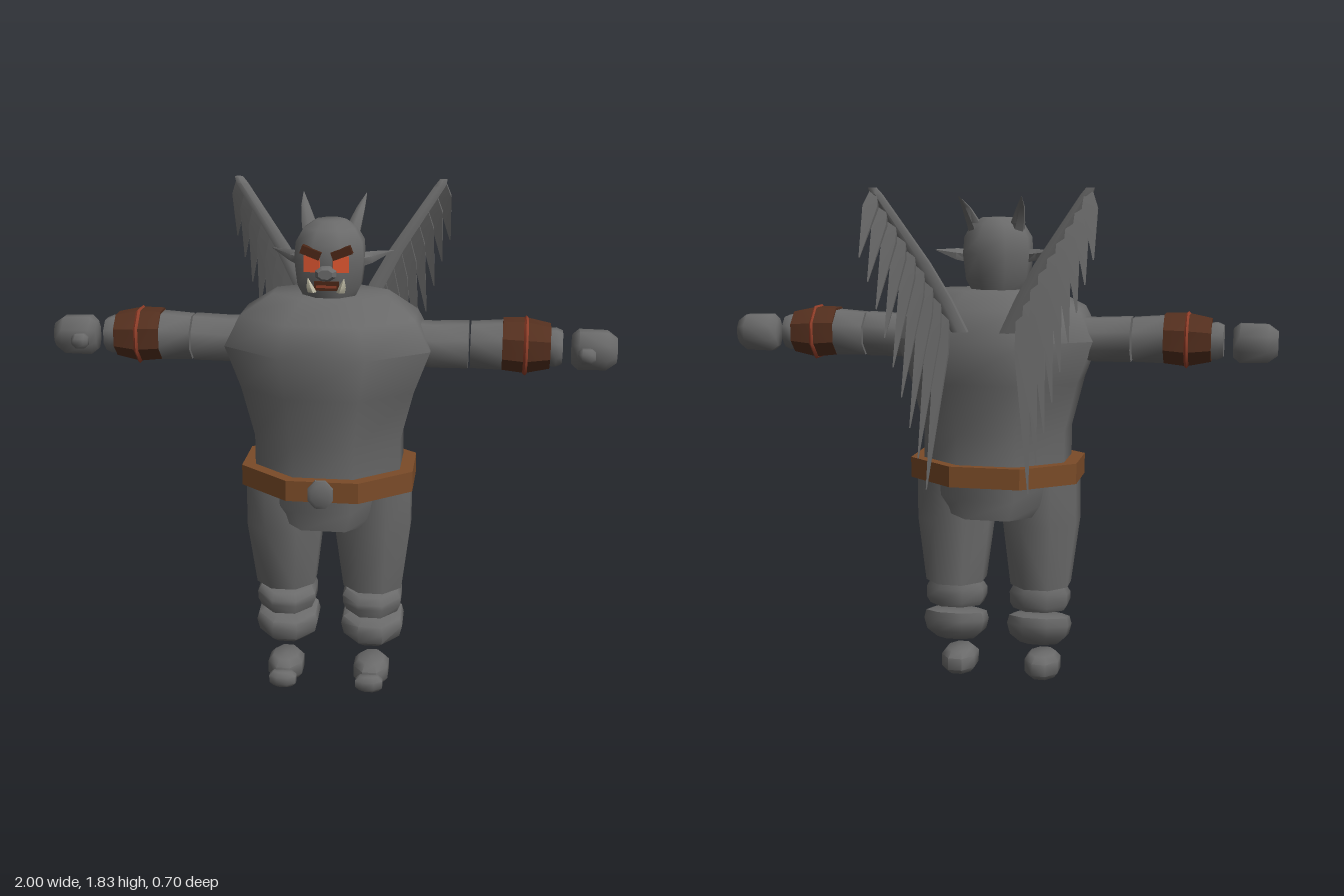
import * as THREE from 'three';
import { toCreasedNormals } from 'three/addons/utils/BufferGeometryUtils.js';

const paint = (name, color, extra = {}) => new THREE.MeshStandardMaterial({ name, color, ...extra });

// Closed loft through rings [y, halfX, halfZ, centreX, centreZ, tilt]
function loft(rings, sides = 8) {
  const pos = [], idx = [], grow = 1 / Math.cos(Math.PI / sides);
  for (const [y, rx, rz, cx = 0, cz = 0, tilt = 0] of rings) {
    for (let j = 0; j < sides; j++) {
      const a = ((j + 0.5) / sides) * Math.PI * 2;
      const z = Math.sin(a) * rz * grow;
      pos.push(cx + Math.cos(a) * rx * grow, y - z * tilt, cz + z);
    }
  }
  const n = rings.length, base = n * sides;
  for (const [y, , , cx = 0, cz = 0] of [rings[0], rings[n - 1]]) pos.push(cx, y, cz);
  for (let j = 0; j < sides; j++) {
    const k = (j + 1) % sides, top = (n - 1) * sides;
    for (let i = 0; i < n - 1; i++) {
      const A = i * sides + j, B = i * sides + k;
      idx.push(A, A + sides, B, B, A + sides, B + sides);
    }
    idx.push(base, j, k, base + 1, top + k, top + j);
  }
  const g = new THREE.BufferGeometry();
  g.setAttribute('position', new THREE.Float32BufferAttribute(pos, 3));
  g.setIndex(idx);
  return g;
}

// Loft running along +x; ring = [x, halfY, halfZ, centreY, centreZ]
const loftX = (rings, sides) =>
  loft(rings.map(([t, ry, rz, cy, cz]) => [t, ry, rz, -cy, cz]), sides).rotateZ(-Math.PI / 2);

// Mirror a geometry across x = 0, keeping faces outward
function mirrored(geo) {
  const g = (geo.index ? geo.toNonIndexed() : geo.clone()).scale(-1, 1, 1);
  const p = g.attributes.position, b = new THREE.Vector3(), c = new THREE.Vector3();
  for (let i = 0; i < p.count; i += 3) {
    b.fromBufferAttribute(p, i + 1);
    c.fromBufferAttribute(p, i + 2);
    p.setXYZ(i + 1, c.x, c.y, c.z);
    p.setXYZ(i + 2, b.x, b.y, b.z);
  }
  return g;
}

// Tapered flat blade from a to b, widest near its root
function blade(a, b, width, thick) {
  const d = b.clone().sub(a), L = d.length();
  const g = loft([[0, width * 0.5, thick * 0.6], [L * 0.25, width, thick], [L, 0.002, 0.001]], 4);
  g.rotateX(Math.PI);
  g.applyQuaternion(new THREE.Quaternion().setFromUnitVectors(new THREE.Vector3(0, -1, 0), d.normalize()));
  return g.translate(a.x, a.y, a.z);
}

export function createModel() {
  const model = new THREE.Group();
  model.name = 'wingedGargoyle';
  const stone = paint('stoneGrey', 0x6a6a6a);
  const leather = paint('beltBrown', 0x7a4b28);
  const bracerMat = paint('bracerBrown', 0x55301f);
  const cord = paint('cordRed', 0x8f3d28);
  const eyeMat = paint('eyeOrange', 0xdc5530);
  const browMat = paint('browBrown', 0x4a2616);
  const ivory = paint('tuskIvory', 0xc9c5ae);

  const add = (name, geo, mat, crease = 1) => {
    geo.deleteAttribute('uv');
    const mesh = new THREE.Mesh(toCreasedNormals(geo, crease), mat);
    mesh.name = name;
    model.add(mesh);
  };
  const pair = (name, geo, mat, crease) => {
    add(name + 'Right', mirrored(geo), mat, crease);
    add(name + 'Left', geo, mat, crease);
  };

  // Torso and pelvis
  add('torso', loft([
    [0.8, 0.26, 0.215, 0, 0.045], [0.97, 0.26, 0.215, 0, 0.05], [1.15, 0.305, 0.24, 0, 0.05],
    [1.3, 0.36, 0.26, 0, 0.05], [1.41, 0.305, 0.22, 0, 0.065], [1.475, 0.2, 0.135, 0, 0.025],
  ]), stone);
  add('pelvis', loft([
    [0.66, 0.19, 0.21, 0, 0.05], [0.73, 0.24, 0.213, 0, 0.05], [0.82, 0.26, 0.215, 0, 0.05],
  ]), stone);

  // Belt and buckle
  add('belt', loft([[0.785, 0.307, 0.25, 0, 0.05], [0.86, 0.307, 0.25, 0, 0.05]]), leather, 0.5);
  add('buckle', loft([
    [-0.015, 0.03, 0.036], [-0.007, 0.044, 0.05], [0.007, 0.044, 0.05], [0.015, 0.03, 0.036],
  ]).rotateX(Math.PI / 2).translate(0, 0.828, 0.336), stone, 0.7);

  // Head
  add('head', loft([
    [1.46, 0.085, 0.085, 0, 0.045], [1.51, 0.11, 0.105, 0, 0.045], [1.6, 0.12, 0.115, 0, 0.045],
    [1.66, 0.115, 0.112, 0, 0.045], [1.705, 0.09, 0.085, 0, 0.04], [1.73, 0.05, 0.055, 0, 0.03],
  ]), stone);
  pair('horn', loft([
    [1.66, 0.03, 0.03, 0.065, 0.02], [1.71, 0.024, 0.024, 0.08, 0],
    [1.765, 0.014, 0.015, 0.098, -0.04], [1.805, 0.001, 0.001, 0.112, -0.1],
  ], 6), stone);
  pair('ear', loftX([
    [0.1, 0.022, 0.022, 1.59, 0.035], [0.145, 0.018, 0.014, 1.597, 0.01],
    [0.215, 0.001, 0.001, 1.615, -0.03],
  ], 5), stone);

  // Face
  add('snout', loft([
    [0, 0.036, 0.024], [0.035, 0.036, 0.024], [0.048, 0.024, 0.016],
  ]).rotateX(Math.PI / 2).translate(0, 1.568, 0.145), stone, 0.7);
  pair('eye', new THREE.BoxGeometry(0.055, 0.055, 0.009).rotateY(0.15).translate(0.05, 1.598, 0.161), eyeMat, 0.5);
  pair('brow', new THREE.BoxGeometry(0.07, 0.028, 0.03).rotateZ(0.36).translate(0.053, 1.638, 0.158), browMat, 0.5);
  add('mouth', new THREE.BoxGeometry(0.085, 0.032, 0.012).translate(0, 1.522, 0.153), browMat, 0.5);
  add('lip', new THREE.BoxGeometry(0.07, 0.008, 0.009).translate(0, 1.52, 0.158), cord, 0.5);
  pair('tusk', loft([
    [1.5, 0.013, 0.012, 0.05, 0.155], [1.52, 0.011, 0.01, 0.056, 0.165], [1.552, 0.001, 0.001, 0.062, 0.172],
  ], 5), ivory);

  // Arms, bracers and detached hands
  pair('upperArm', loftX([
    [0.25, 0.07, 0.085, 1.31, 0.04], [0.36, 0.076, 0.09, 1.3, 0.04], [0.488, 0.079, 0.08, 1.303, 0.04],
  ]), stone);
  pair('forearm', loftX([
    [0.495, 0.077, 0.078, 1.303, 0.04], [0.62, 0.083, 0.083, 1.306, 0.04],
  ]), stone);
  pair('bracer', loftX([
    [0.605, 0.086, 0.086, 1.31, 0.04], [0.685, 0.091, 0.09, 1.306, 0.04], [0.77, 0.074, 0.076, 1.306, 0.04],
  ]), bracerMat, 0.7);
  pair('bracerCord', new THREE.TorusGeometry(0.098, 0.008, 4, 8)
    .rotateZ(Math.PI / 8).rotateY(Math.PI / 2).translate(0.685, 1.305, 0.042), cord, 0.7);
  pair('wrist', loftX([
    [0.765, 0.062, 0.062, 1.303, 0.042], [0.79, 0.064, 0.064, 1.303, 0.042], [0.812, 0.055, 0.055, 1.303, 0.042],
  ]), stone);
  pair('hand', loftX([
    [0.845, 0.05, 0.035, 1.298, 0.045], [0.868, 0.068, 0.056, 1.298, 0.045],
    [0.965, 0.066, 0.058, 1.298, 0.045], [1.0, 0.042, 0.034, 1.298, 0.045],
  ]), stone);
  pair('thumb', loftX([
    [0.865, 0.015, 0.012, 1.29, 0.11], [0.878, 0.026, 0.022, 1.29, 0.11],
    [0.91, 0.026, 0.022, 1.29, 0.11], [0.924, 0.015, 0.012, 1.29, 0.11],
  ]), stone);

  // Legs: thigh, knee band, rounded shin cap
  pair('thigh', loft([
    [0.38, 0.107, 0.11, 0.162, 0.05], [0.62, 0.136, 0.14, 0.162, 0.062], [0.8, 0.135, 0.15, 0.162, 0.06],
  ]), stone);
  pair('kneeBand', loft([
    [0.285, 0.095, 0.1, 0.16, 0.05, 0.08], [0.31, 0.107, 0.108, 0.16, 0.05],
    [0.345, 0.108, 0.108, 0.16, 0.05, 0.15], [0.37, 0.095, 0.095, 0.16, 0.045, 0.19],
  ]), stone);
  pair('shinCap', loft([
    [0.15, 0.07, 0.065, 0.16, 0.04, 0.16], [0.183, 0.105, 0.105, 0.16, 0.038, 0.16],
    [0.225, 0.115, 0.112, 0.16, 0.036, 0.18], [0.255, 0.107, 0.107, 0.16, 0.036, 0.2],
    [0.265, 0.08, 0.08, 0.16, 0.036, 0.2],
  ]), stone);

  // Detached feet with a toe ball
  pair('foot', loft([
    [0, 0.048, 0.062, 0.162, 0.098], [0.022, 0.064, 0.087, 0.162, 0.098],
    [0.068, 0.064, 0.087, 0.162, 0.098], [0.09, 0.046, 0.062, 0.162, 0.098],
  ]), stone);
  pair('toe', loft([
    [0.002, 0.036, 0.02, 0.162, 0.192], [0.016, 0.05, 0.03, 0.162, 0.192],
    [0.044, 0.05, 0.03, 0.162, 0.192], [0.06, 0.034, 0.018, 0.162, 0.192],
  ]), stone);

  // Wings: a bent bone with hanging feathers, longest near the back
  const bone = [[1.34, 0.028, 0.022, 0.085, -0.2], [1.46, 0.03, 0.022, 0.145, -0.212],
    [1.58, 0.026, 0.02, 0.21, -0.228], [1.81, 0.02, 0.016, 0.362, -0.255], [1.833, 0.014, 0.01, 0.375, -0.26]];
  pair('wingBone', loft(bone, 6), stone);
  const spine = new THREE.CatmullRomCurve3(bone.map(([y, , , x, z]) => new THREE.Vector3(x, y, z)));
  const count = 9;
  for (let i = 0; i < count; i++) {
    const t = i / (count - 1);
    const root = spine.getPointAt(0.98 - 0.8 * t);
    const tip = new THREE.Vector3(0.4 - 0.22 * t, 1.6 - 0.8 * Math.pow(t, 1.1), -0.345 + 0.03 * t);
    pair('feather' + (i + 1), blade(root, tip, 0.026, 0.01), stone, 0.6);
  }
  return model;
}
